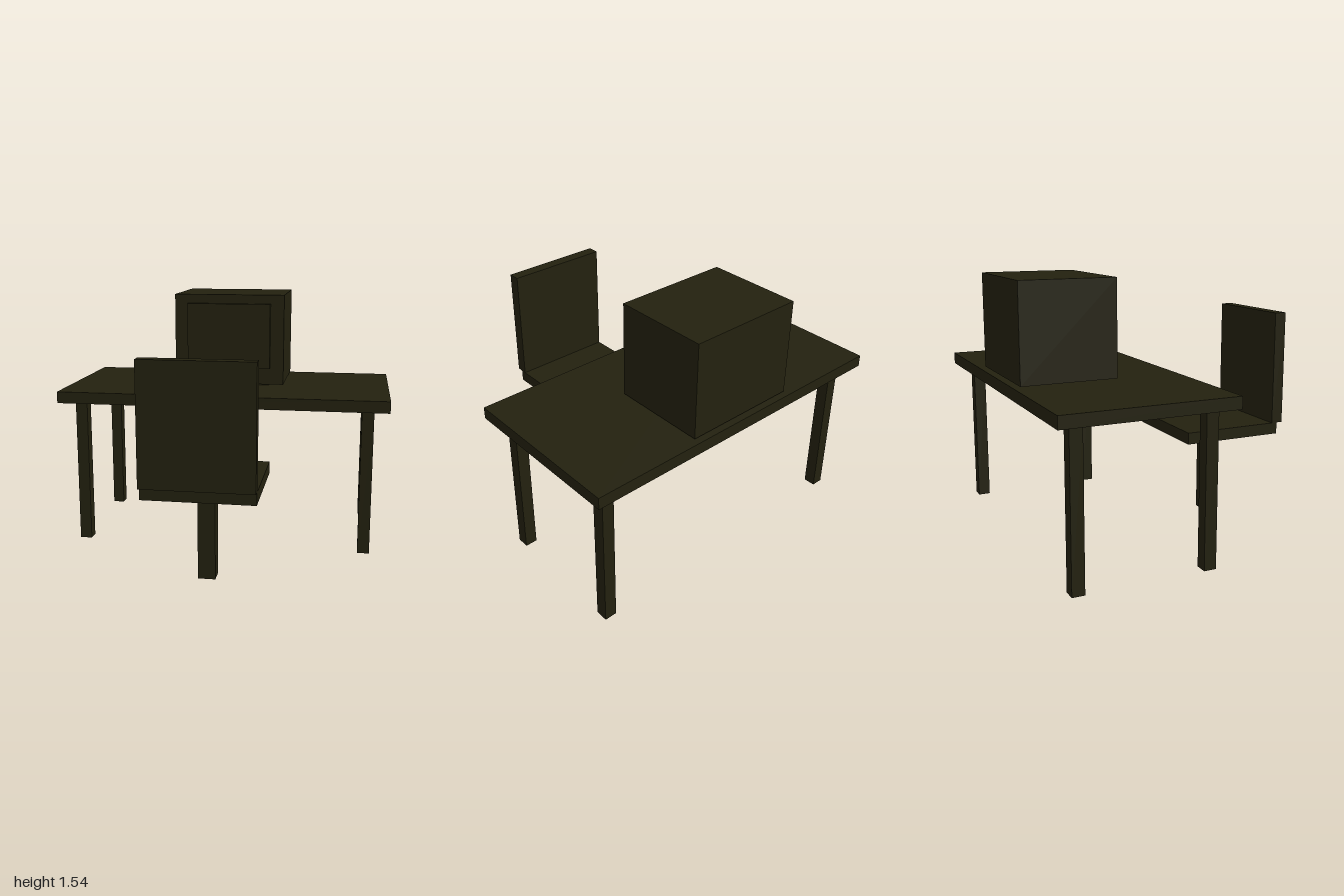
import * as THREE from 'three';

export function createModel() {
  const model = new THREE.Group();
  const darkOlive = new THREE.MeshStandardMaterial({ color: 0x23210f });
  darkOlive.name = 'darkOlive';

  // Box given by its [min, max] extent on each axis
  function addBox(parent, name, [x0, x1], [y0, y1], [z0, z1]) {
    const mesh = new THREE.Mesh(new THREE.BoxGeometry(x1 - x0, y1 - y0, z1 - z0), darkOlive);
    mesh.position.set((x0 + x1) / 2, (y0 + y1) / 2, (z0 + z1) / 2);
    mesh.name = name;
    parent.add(mesh);
  }

  function addGroup(name) {
    const group = new THREE.Group();
    group.name = name;
    model.add(group);
    return group;
  }

  // Desk: top and four square legs
  const desk = addGroup('desk');
  addBox(desk, 'deskTop', [-1, 1], [0.9, 0.97], [-0.865, 0.135]);
  for (const [side, x] of [['Left', 0.875], ['Right', -0.875]]) {
    for (const [end, z] of [['front', 0.015], ['back', -0.74]]) {
      addBox(desk, `${end}${side}Leg`, [x - 0.036, x + 0.036], [0.01, 0.9], [z - 0.036, z + 0.036]);
    }
  }

  // Monitor: low foot, deep case and raised screen
  const monitor = addGroup('monitor');
  addBox(monitor, 'monitorFoot', [-0.25, 0.25], [0.97, 0.98], [-0.675, -0.3]);
  addBox(monitor, 'monitorCase', [-0.344, 0.344], [0.98, 1.54], [-0.832, -0.27]);
  addBox(monitor, 'screen', [-0.26, 0.26], [1.083, 1.485], [-0.27, -0.238]);

  // Chair: faces the desk, on a single post
  const chair = addGroup('chair');
  addBox(chair, 'chairPost', [-0.05, 0.05], [0, 0.535], [0.468, 0.565]);
  addBox(chair, 'seat', [-0.313, 0.313], [0.535, 0.605], [0.203, 0.828]);
  addBox(chair, 'backrest', [-0.313, 0.313], [0.605, 1.29], [0.793, 0.865]);

  return model;
}
